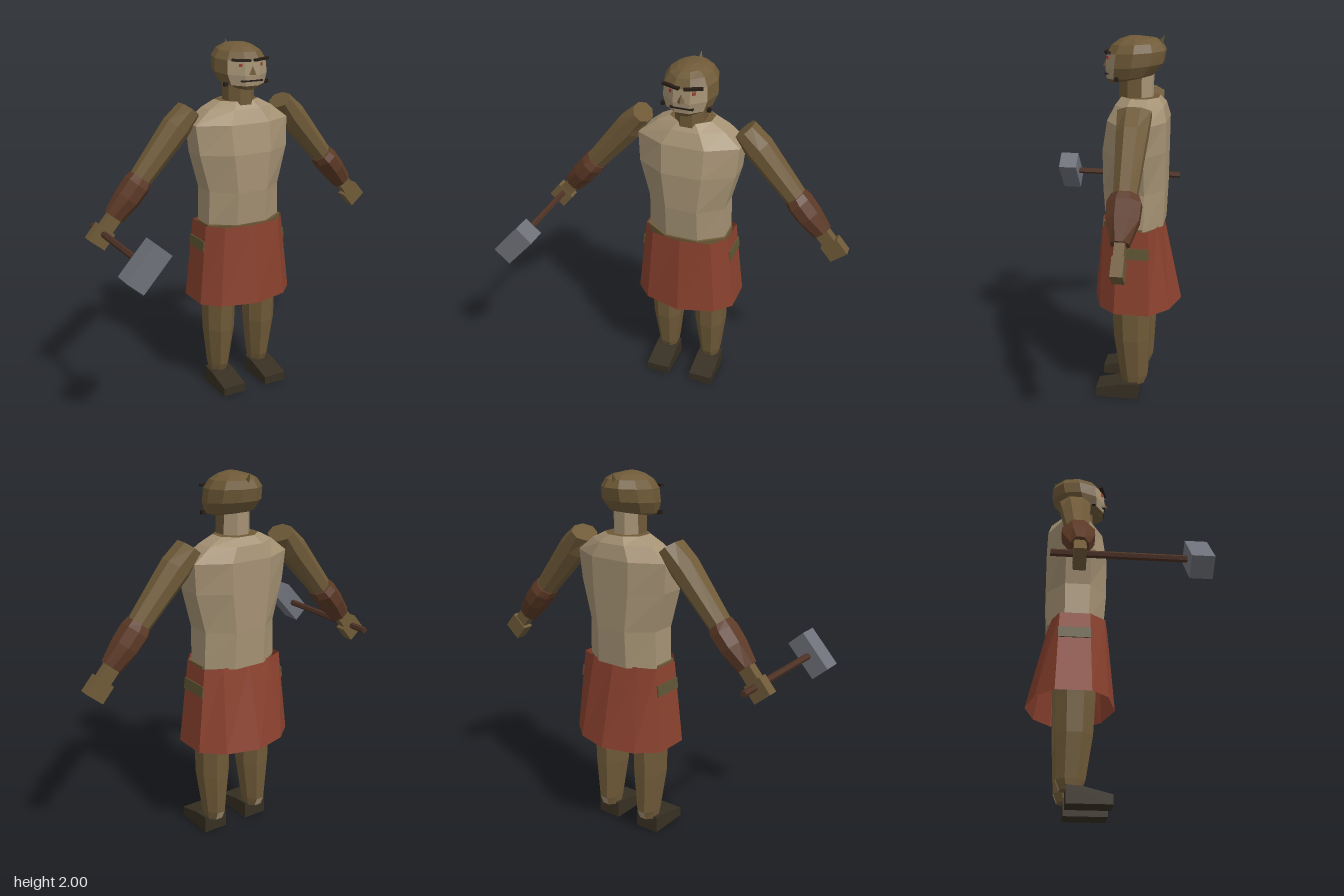
import * as THREE from 'three';

const mat = (name, color, extra = {}) => {
  const m = new THREE.MeshStandardMaterial({ color, ...extra });
  m.name = name;
  return m;
};

// Horizontal ring of n points, with a flat facet facing front: [y, halfWidth, zFront, zBack, yBack]
function ring(n, [y, w, zf, zb, yb = y]) {
  const k = 1 / Math.cos(Math.PI / n), kx = n % 4 ? 1 : k;
  const zc = (zf + zb) / 2, d = (zf - zb) / 2;
  return Array.from({ length: n }, (_, i) => {
    const a = ((i - 0.5) / n) * Math.PI * 2;
    const c = Math.cos(a);
    return [Math.sin(a) * w * kx, y + (yb - y) * (1 - c) / 2, zc + c * d * k];
  });
}

// Faceted skin over rings listed from bottom to top; pick(band, side) chooses a material index
function loft(rings, { caps = true, pick = () => 0 } = {}) {
  const pos = [], geo = new THREE.BufferGeometry();
  const tri = (m, ...pts) => {
    geo.addGroup(pos.length / 3, 3, m);
    pts.forEach((p) => pos.push(...p));
  };
  const n = rings[0].length, last = rings.length - 1;
  for (let b = 0; b < last; b++) {
    for (let i = 0; i < n; i++) {
      const j = (i + 1) % n, lo = rings[b], hi = rings[b + 1], m = pick(b, i);
      tri(m, lo[i], lo[j], hi[j]);
      tri(m, lo[i], hi[j], hi[i]);
    }
  }
  if (caps) {
    for (let i = 1; i < n - 1; i++) {
      tri(pick(-1, i), rings[0][0], rings[0][i + 1], rings[0][i]);
      tri(pick(last, i), rings[last][0], rings[last][i], rings[last][i + 1]);
    }
  }
  geo.setAttribute('position', new THREE.Float32BufferAttribute(pos, 3));
  geo.computeVertexNormals();
  return geo;
}

export function createModel() {
  const skin = mat('pale skin', 0xa59274);
  const brown = mat('olive brown', 0x6f5a38);
  const red = mat('rust cloth', 0x8a412e, { side: THREE.DoubleSide });
  const leather = mat('dark leather', 0x5c3926);
  const shoeMat = mat('shoe black brown', 0x372f22);
  const steel = mat('grey steel', 0x6e7179);
  const wood = mat('handle wood', 0x4d3124);
  const olive = mat('olive strap', 0x5e5534);
  const dark = mat('brow black', 0x261d16);
  const eyeRed = mat('eye red', 0x9c4232);

  const model = new THREE.Group();
  const body = new THREE.Group();
  body.name = 'body';
  body.position.x = 0.013;
  model.add(body);

  const add = (name, geo, material, pos = [0, 0, 0], rot = [0, 0, 0], parent = body) => {
    const m = new THREE.Mesh(geo, material);
    m.name = name;
    m.position.set(...pos);
    m.rotation.set(...rot);
    parent.add(m);
    return m;
  };
  const box = (w, h, d) => new THREE.BoxGeometry(w, h, d);
  const flat = (g) => {
    const f = g.toNonIndexed();
    f.computeVertexNormals();
    return f;
  };
  const rings = (n, list) => list.map((r) => ring(n, r));

  // Torso, with a brown collar on top
  add('torso', loft(rings(8, [
    [1.0, 0.222, -0.016, -0.325],
    [1.2, 0.217, 0, -0.333],
    [1.41, 0.272, 0, -0.333],
    [1.57, 0.285, -0.025, -0.333],
    [1.645, 0.19, -0.06, -0.315],
    [1.685, 0.115, -0.09, -0.285],
  ]), { pick: (b) => (b === 5 ? 1 : 0) }), [skin, brown]);
  add('hips', loft(rings(8, [
    [0.74, 0.2, -0.05, -0.29],
    [0.9, 0.225, -0.015, -0.305],
    [1.015, 0.232, -0.003, -0.312],
  ])), brown);

  // Neck, pale at the nape
  add('neck', loft(rings(8, [
    [1.66, 0.08, -0.075, -0.25],
    [1.81, 0.08, -0.075, -0.25],
  ]), { pick: (b, i) => (b === 0 && i >= 3 && i <= 5 ? 1 : 0) }), [brown, skin]);

  // Head: pale face on the front facets, brown hair and beard elsewhere
  add('head', loft(rings(10, [
    [1.752, 0.07, -0.025, -0.22, 1.785],
    [1.775, 0.125, -0.01, -0.25, 1.8],
    [1.83, 0.148, -0.004, -0.3, 1.86],
    [1.905, 0.143, -0.01, -0.312, 1.925],
    [1.95, 0.115, -0.037, -0.29, 1.965],
    [1.975, 0.075, -0.07, -0.255, 1.985],
    [1.993, 0.03, -0.12, -0.19],
  ]), { pick: (b, i) => ((b === 1 || b === 2) && (i <= 1 || i === 9) ? 1 : 0) }), [brown, skin]);
  add('mouth', box(0.125, 0.008, 0.03), dark, [0, 1.803, -0.018]);
  add('nose', flat(new THREE.ConeGeometry(0.022, 0.045, 4)), brown, [0, 1.858, -0.004]);
  add('hairTuft', flat(new THREE.ConeGeometry(0.014, 0.045, 4)), olive, [0, 1.98, -0.295], [-0.45, 0, 0]);
  for (const s of [1, -1]) {
    add('eye', box(0.018, 0.016, 0.008), eyeRed, [s * 0.062, 1.886, -0.02], [0, s * 0.65, 0]);
    add('eyebrow', box(0.1, 0.013, 0.02), dark, [s * 0.06, 1.912, -0.018], [0, s * 0.3, s * 0.05]);
    add('whisker', box(0.02, 0.02, 0.02), dark, [s * 0.125, 1.785, -0.075]);
  }

  // Open kilt from two mirrored outlines
  const outline = (y, half) => [
    ...half,
    ...half.slice(1, -1).reverse().map(([x, z]) => [-x, z]),
  ].map(([x, z]) => [x, y, z]);
  add('kilt', loft([
    outline(0.555, [[0, 0.056], [0.205, 0], [0.291, -0.09], [0.291, -0.28], [0.18, -0.378], [0, -0.427]]),
    outline(1.01, [[0, 0.016], [0.17, -0.012], [0.243, -0.1], [0.243, -0.262], [0.15, -0.3], [0, -0.32]]),
  ], { caps: false }), red);

  // Limbs and shoes, both sides
  const shoeShape = new THREE.Shape([[-0.025, 0], [0.21, 0], [0.21, 0.095], [0.12, 0.086], [-0.025, 0.05]]
    .map((p) => new THREE.Vector2(...p)));
  const shoeGeo = new THREE.ExtrudeGeometry(shoeShape, { depth: 0.138, bevelEnabled: false });
  shoeGeo.translate(0, 0, -0.069).rotateY(Math.PI / 2);
  const legGeo = loft(rings(8, [
    [0.08, 0.05, -0.13, -0.24],
    [0.13, 0.057, -0.11, -0.26],
    [0.36, 0.084, -0.075, -0.27],
    [0.56, 0.086, -0.063, -0.275],
    [0.85, 0.095, -0.06, -0.28],
  ]), { pick: (b, i) => (b === 0 && i === 4 ? 1 : 0) });
  const tilt = 0.705;
  const armGeo = loft(rings(8, [
    [-0.48, 0.056, 0.055, -0.055],
    [-0.12, 0.074, 0.078, -0.078],
    [0, 0.055, 0.085, -0.085],
  ]));
  const bracerGeo = loft(rings(8, [
    [-0.7, 0.053, 0.045, -0.045],
    [-0.58, 0.064, 0.08, -0.08],
    [-0.49, 0.066, 0.083, -0.083],
    [-0.45, 0.06, 0.066, -0.066],
  ]));
  for (const s of [1, -1]) {
    add('leg', legGeo, [brown, skin], [s * 0.135, 0, 0]);
    add('shoe', shoeGeo, shoeMat, [s * 0.137, 0, 0]);
    add('kiltStrap', box(0.009, 0.06, 0.172), olive, [s * 0.258, 0.89, -0.183], [0, 0, s * 0.105]);

    const arm = new THREE.Group();
    arm.name = s > 0 ? 'leftArm' : 'rightArm';
    arm.position.set(s * 0.287, 1.65, -0.193);
    arm.rotation.z = s * tilt;
    body.add(arm);
    add('upperArm', armGeo, brown, [0, 0, 0], [0, 0, 0], arm);
    add('bracer', bracerGeo, leather, [0, 0, 0], [0, 0, 0], arm);
    add('wrist', box(0.075, 0.12, 0.05), brown, [0, -0.735, -0.003], [0, 0, 0], arm);
    add('hand', box(0.109, 0.1, 0.06), brown, [0, -0.823, -0.005], [0, 0, 0], arm);
  }

  // Hammer held forward in the right hand
  const hammer = new THREE.Group();
  hammer.name = 'hammer';
  hammer.position.set(-0.81, 1.04, 0);
  hammer.rotation.z = -0.735;
  body.add(hammer);
  add('hammerHandle', flat(new THREE.CylinderGeometry(0.018, 0.018, 0.68, 6)), wood,
    [0, 0, 0.005], [Math.PI / 2, 0, 0], hammer);
  add('hammerHead', box(0.112, 0.23, 0.11), steel, [0, 0, 0.37], [0, 0, 0], hammer);

  return model;
}
